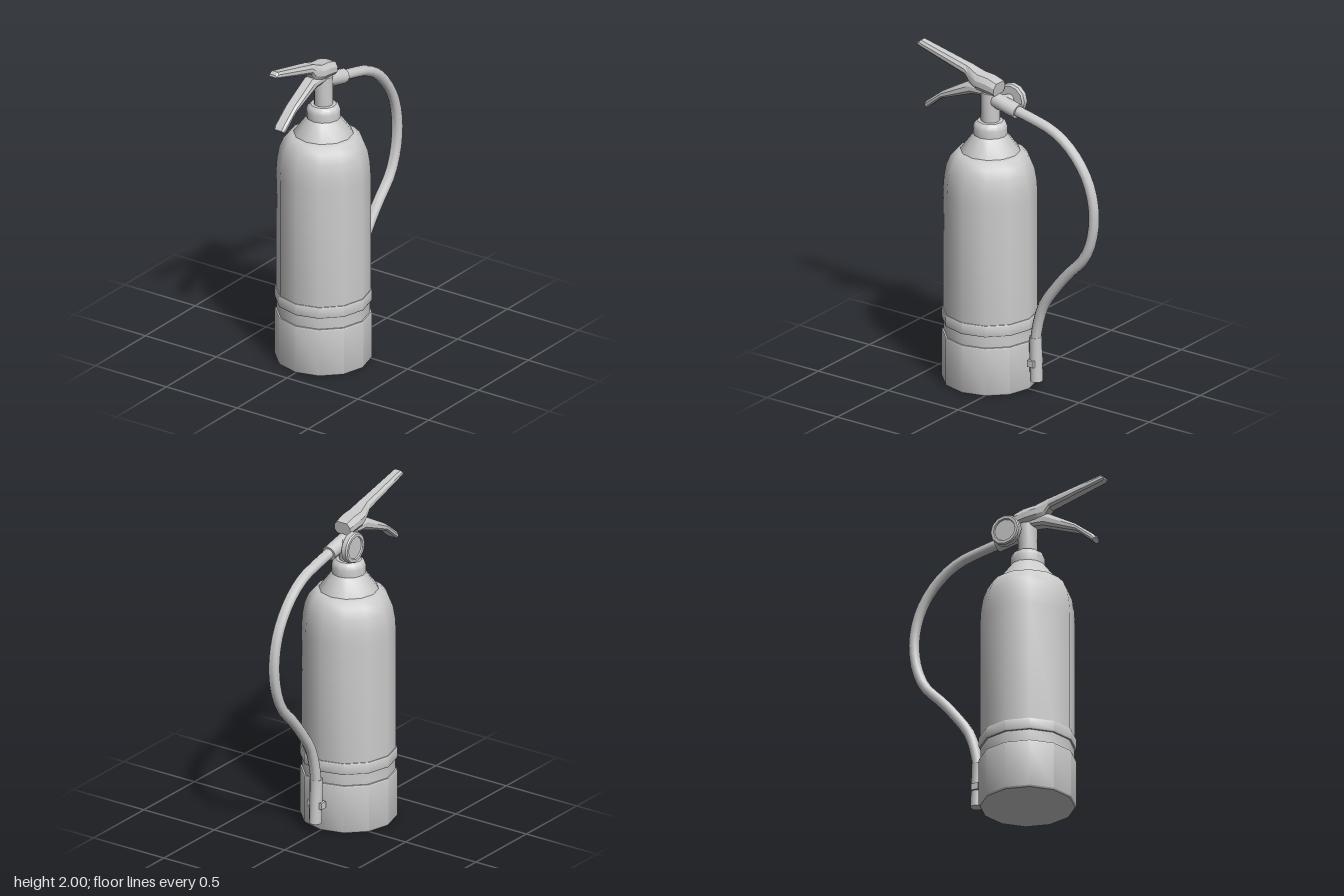
import * as THREE from 'three';
import { toCreasedNormals } from 'three/addons/utils/BufferGeometryUtils.js';

const material = new THREE.MeshStandardMaterial({ color: 0xcccccc });
const AXIS_Z = 0.135; // the cylinder's axis sits forward of centre

export function createModel() {
  const group = new THREE.Group();

  const add = (name, geometry, crease = 0.6) => {
    const mesh = new THREE.Mesh(toCreasedNormals(geometry, crease), material);
    mesh.name = name;
    group.add(mesh);
    return mesh;
  };

  // Turned part from [radius, height] pairs, listed bottom to top
  const turned = (name, profile, sides = 12) => {
    const points = profile.map(([r, y]) => new THREE.Vector2(r, y));
    const mesh = add(name, new THREE.LatheGeometry(points, sides));
    mesh.position.z = AXIS_Z;
    return mesh;
  };

  // Straight round part between two points
  const rod = (name, from, to, r0, r1 = r0, sides = 12) => {
    const a = new THREE.Vector3(...from);
    const b = new THREE.Vector3(...to);
    const dir = b.clone().sub(a);
    const mesh = add(name, new THREE.CylinderGeometry(r1, r0, dir.length(), sides));
    mesh.position.copy(a).add(b).multiplyScalar(0.5);
    mesh.quaternion.setFromUnitVectors(new THREE.Vector3(0, 1, 0), dir.normalize());
    return mesh;
  };

  // Bevelled bar through stations [bottom z, bottom y, top z, top y, half width], back to front
  const section = [[-0.7, 0], [0.7, 0], [1, 0.25], [1, 0.65], [0.65, 1], [-0.65, 1], [-1, 0.65], [-1, 0.25]];
  const bar = (name, stations) => {
    const positions = [];
    const index = [];
    const n = section.length;
    for (const [zb, yb, zt, yt, w] of stations) {
      for (const [u, t] of section) positions.push(u * w, yb + (yt - yb) * t, zb + (zt - zb) * t);
    }
    const last = (stations.length - 1) * n;
    for (let base = 0; base < last; base += n) {
      for (let j = 0; j < n; j++) {
        const a = base + j;
        const b = base + (j + 1) % n;
        index.push(a, b, b + n, a, b + n, a + n);
      }
    }
    for (let j = 1; j < n - 1; j++) {
      index.push(0, j + 1, j);
      index.push(last, last + j, last + j + 1);
    }
    const geometry = new THREE.BufferGeometry();
    geometry.setAttribute('position', new THREE.Float32BufferAttribute(positions, 3));
    geometry.setIndex(index);
    geometry.computeVertexNormals();
    return add(name, geometry, 0.4);
  };

  // Tank with base sleeve, groove, band and rounded shoulder
  turned('tank', [
    [0, 0], [0.276, 0], [0.283, 0.01], [0.283, 0.288], [0.28, 0.297], [0.271, 0.297],
    [0.271, 0.368], [0.28, 0.368], [0.283, 0.375], [0.283, 0.43], [0.28, 0.437], [0.275, 0.437],
    [0.275, 1.17], [0.27, 1.25], [0.257, 1.325], [0.232, 1.385], [0.2, 1.42], [0.17, 1.43], [0, 1.432],
  ]);

  // Cone and collar on the shoulder
  turned('collar', [
    [0, 1.42], [0.175, 1.425], [0.172, 1.435], [0.1, 1.53], [0.1, 1.578], [0.093, 1.597], [0.075, 1.612], [0, 1.618],
  ]);

  // Valve neck
  turned('neck', [[0, 1.6], [0.056, 1.6], [0.056, 1.79], [0, 1.79]]);

  // Upper carrying handle
  bar('upperHandle', [
    [0.077, 1.785, 0.066, 1.862, 0.056],
    [0.14, 1.793, 0.13, 1.883, 0.058],
    [0.204, 1.8, 0.204, 1.89, 0.058],
    [0.257, 1.815, 0.278, 1.92, 0.04],
    [0.288, 1.862, 0.3, 1.925, 0.038],
    [0.63, 1.962, 0.62, 2.0, 0.03],
    [0.643, 1.972, 0.64, 1.985, 0.026],
  ]);

  // Lower lever
  bar('lowerLever', [
    [0.13, 1.77, 0.13, 1.82, 0.04],
    [0.246, 1.76, 0.283, 1.825, 0.04],
    [0.468, 1.677, 0.458, 1.725, 0.04],
    [0.555, 1.603, 0.577, 1.632, 0.04],
    [0.569, 1.592, 0.59, 1.612, 0.034],
  ]);

  // Pressure gauge: a dial with a raised rim, facing the -x side
  const gauge = add('pressureGauge', new THREE.LatheGeometry([
    [0, 0], [0.082, 0], [0.094, 0.01], [0.094, 0.038], [0.087, 0.047], [0.07, 0.047], [0.066, 0.038], [0, 0.038],
  ].map(([r, y]) => new THREE.Vector2(r, y)), 12));
  gauge.rotation.z = Math.PI / 2;
  gauge.position.set(-0.07, 1.738, 0.043);
  rod('gaugeStem', [-0.02, 1.738, 0.06], [-0.072, 1.738, 0.043], 0.04, 0.034);

  // Hose with its fitting at the valve
  rod('hoseFitting', [0, 1.748, 0.1], [0, 1.712, -0.062], 0.045);
  const hosePath = new THREE.CatmullRomCurve3([
    [-0.03, 1.72], [-0.16, 1.692], [-0.31, 1.65], [-0.431, 1.571], [-0.532, 1.449], [-0.585, 1.327], [-0.606, 1.184],
    [-0.585, 1.025], [-0.532, 0.903], [-0.415, 0.776], [-0.325, 0.665], [-0.246, 0.548], [-0.204, 0.416], [-0.188, 0.31],
  ].map(([z, y]) => new THREE.Vector3(0, y, z)));
  add('hose', new THREE.TubeGeometry(hosePath, 30, 0.032, 10), 0.9);

  // Nozzle with side clips
  rod('nozzle', [0, 0.066, -0.195], [0, 0.338, -0.187], 0.038);
  for (const side of [-1, 1]) {
    const clip = add('nozzleClip', new THREE.BoxGeometry(0.025, 0.04, 0.045));
    clip.position.set(side * 0.038, 0.18, -0.185);
  }

  return group;
}
